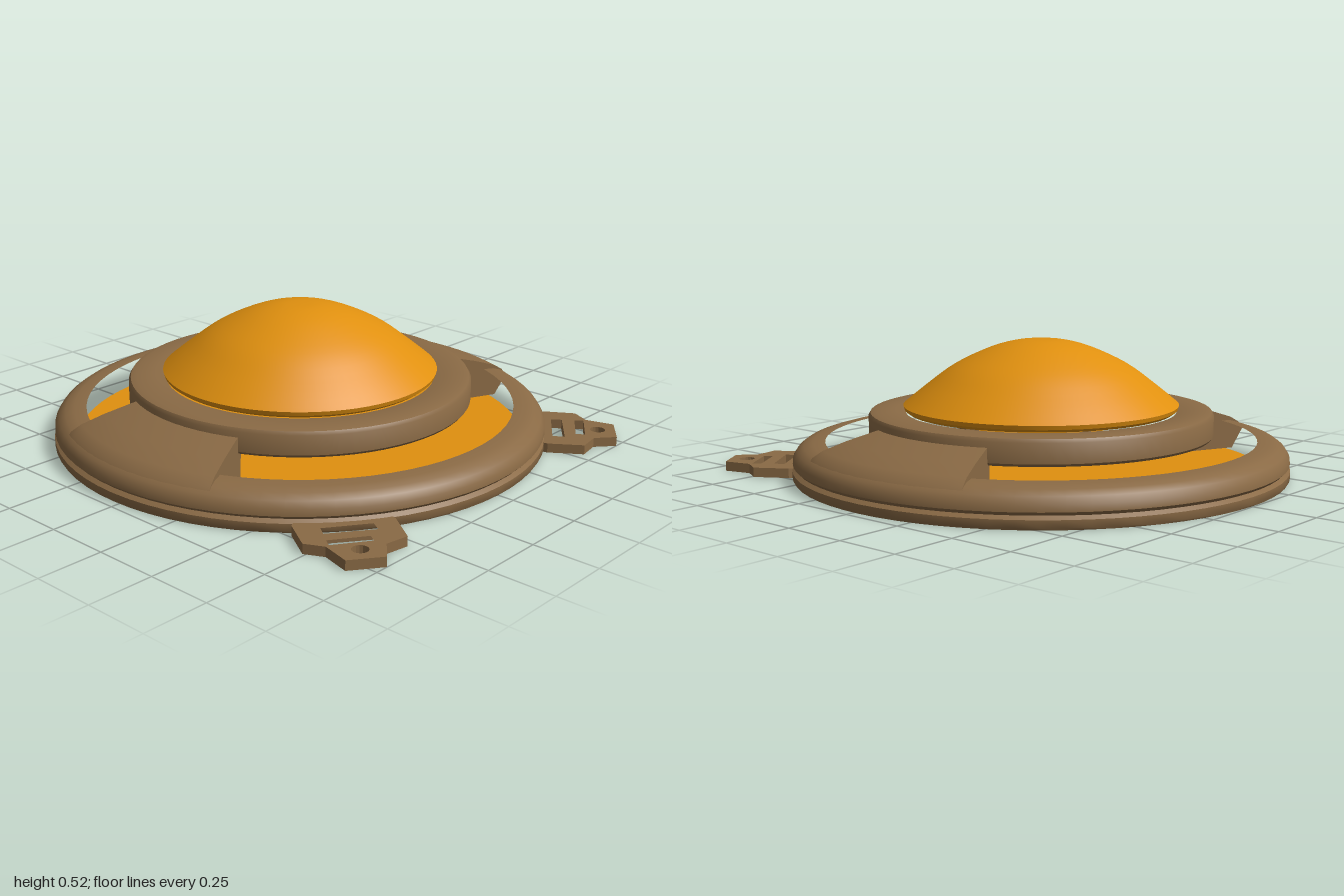
import * as THREE from 'three';
import { toCreasedNormals } from 'three/addons/utils/BufferGeometryUtils.js';

const brown = new THREE.MeshStandardMaterial({ name: 'brown', color: 0x8a6a45 });
const amber = new THREE.MeshStandardMaterial({ name: 'amber', color: 0xe0900f });
const black = new THREE.MeshStandardMaterial({ name: 'black', color: 0x050505 });

const vectors = (list) => list.map(([x, y]) => new THREE.Vector2(x, y));

function addMesh(parent, name, geometry, material) {
  const mesh = new THREE.Mesh(geometry, material);
  mesh.name = name;
  parent.add(mesh);
  return mesh;
}

// Turned part; the profile runs from the bottom outwards and up
function turned(profile, start = 0, sweep = Math.PI * 2, segments = 72) {
  const geometry = new THREE.LatheGeometry(vectors(profile), segments, start, sweep);
  return toCreasedNormals(geometry, 0.6);
}

// Sloping bridge between the rim and the raised collar, with closed ends
function makeBridge(name, facing) {
  const bridge = new THREE.Group();
  bridge.name = name;
  const half = THREE.MathUtils.degToRad(24);
  const profile = [[0.95, 0.1], [0.93, 0.13], [0.89, 0.153], [0.8, 0.182], [0.67, 0.215], [0.64, 0.22]];
  addMesh(bridge, 'bridgeTop', turned(profile, -half, half * 2, 16), brown);
  const outline = [[0.66, 0.02], [0.9, 0.02], ...profile];
  for (const side of [-1, 1]) {
    const end = new THREE.ShapeGeometry(new THREE.Shape(vectors(outline)));
    end.rotateY(side * half - Math.PI / 2);
    addMesh(bridge, 'bridgeEnd', end, bridgeEndMaterial);
  }
  bridge.rotation.y = facing;
  return bridge;
}
const bridgeEndMaterial = brown.clone();
bridgeEndMaterial.side = THREE.DoubleSide;

// Flat lug with two slanted slots and a round hole
function makeLug(side) {
  const place = (list) => vectors(list.map(([x, z]) => [x, z * side]));
  const shape = new THREE.Shape(place([
    [0.6, 0.7], [0.62, 0.74], [0.74, 0.815], [0.81, 0.78], [0.92, 0.81],
    [1.0, 0.7], [0.94, 0.63], [0.955, 0.54], [0.84, 0.46], [0.8, 0.45],
  ]));
  const slots = [
    [[0.705, 0.69], [0.74, 0.715], [0.85, 0.565], [0.81, 0.54]],
    [[0.78, 0.745], [0.81, 0.765], [0.895, 0.64], [0.865, 0.62]],
  ];
  for (const slot of slots) shape.holes.push(new THREE.Path(place(slot)));
  shape.holes.push(new THREE.Path().absarc(0.903, 0.718 * side, 0.03, 0, Math.PI * 2));
  const depth = 0.037;
  const geometry = new THREE.ExtrudeGeometry(shape, { depth, bevelEnabled: false, curveSegments: 8 });
  geometry.rotateX(Math.PI / 2).translate(0, depth, 0);
  return geometry;
}

export function createModel() {
  const model = new THREE.Group();
  model.name = 'domedBadge';
  const body = new THREE.Group();
  body.name = 'body';
  body.position.x = -0.03;
  model.add(body);

  // Outer rim: bottom flange, groove and rounded shell
  addMesh(body, 'outerRim', turned([
    [0.875, 0], [0.965, 0], [0.97, 0.008], [0.97, 0.035], [0.955, 0.047],
    [0.968, 0.06], [0.966, 0.085], [0.95, 0.11], [0.925, 0.128], [0.89, 0.138], [0.843, 0.14],
  ]), brown);

  // Amber floor seen through the side windows
  const floor = new THREE.CylinderGeometry(0.88, 0.88, 0.009, 72);
  addMesh(body, 'floorPlate', floor, amber).position.y = 0.011;

  // Dark disc under the dome
  const disc = new THREE.CircleGeometry(0.53, 64).rotateX(Math.PI / 2);
  addMesh(body, 'undersideDisc', disc, black).position.y = 0.004;

  // Raised collar
  addMesh(body, 'collar', turned([
    [0.53, 0.15], [0.667, 0.15], [0.675, 0.16], [0.675, 0.235],
    [0.667, 0.248], [0.645, 0.254], [0.57, 0.252], [0.53, 0.245],
  ]), brown);

  // Dome
  const curve = new THREE.SplineCurve(vectors([
    [0.54, 0.272], [0.45, 0.345], [0.34, 0.425], [0.2, 0.491], [0.09, 0.52], [0, 0.525],
  ]));
  const dome = [[0.52, 0.245], [0.535, 0.256], ...curve.getPoints(20).map((p) => [Math.max(p.x, 0), p.y])];
  addMesh(body, 'dome', turned(dome), amber);

  // Front and back bridges
  body.add(makeBridge('frontBridge', 0), makeBridge('backBridge', Math.PI));

  // Lugs on the left side
  addMesh(model, 'frontLug', makeLug(1), brown);
  addMesh(model, 'backLug', makeLug(-1), brown);

  return model;
}
